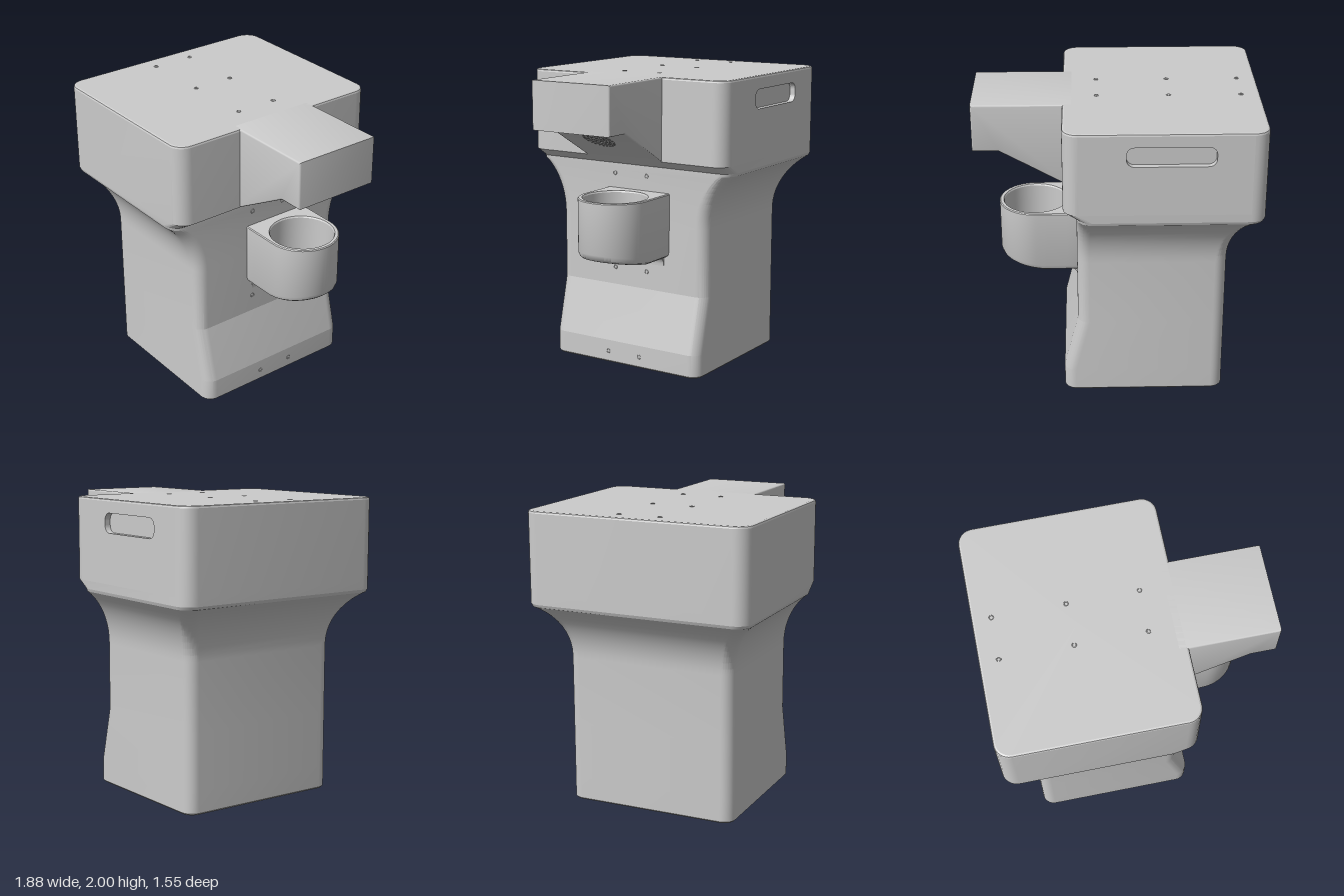
import * as THREE from 'three';
import { toCreasedNormals } from 'three/addons/utils/BufferGeometryUtils.js';

const material = new THREE.MeshStandardMaterial({ color: 0xcccccc });

// Skin a stack of equal-length loops (counterclockwise from above) and cap both ends.
function loft(rows, crease, skip = () => false) {
  const n = rows[0].length, pos = [];
  const tri = (...pts) => pts.forEach((p) => pos.push(p.x, p.y, p.z));
  for (let i = 0; i < rows.length - 1; i++) {
    for (let j = 0; j < n; j++) {
      if (skip(i, j)) continue;
      const k = (j + 1) % n, lo = rows[i], hi = rows[i + 1];
      tri(lo[j], lo[k], hi[k]);
      tri(lo[j], hi[k], hi[j]);
    }
  }
  const centre = (r) => r.reduce((s, p) => s.add(p), new THREE.Vector3()).divideScalar(n);
  const first = rows[0], last = rows[rows.length - 1];
  const c0 = centre(first), c1 = centre(last);
  for (let j = 0; j < n; j++) {
    const k = (j + 1) % n;
    tri(c0, first[k], first[j]);
    tri(c1, last[j], last[k]);
  }
  const g = new THREE.BufferGeometry();
  g.setAttribute('position', new THREE.Float32BufferAttribute(pos, 3));
  return toCreasedNormals(g, crease);
}

// Rounded rectangle in plan, starting at the +x, -z corner.
const SEG = 8;
function plan(y, x0, x1, hz, r) {
  const pts = [];
  const corners = [[x1 - r, -hz + r], [x0 + r, -hz + r], [x0 + r, hz - r], [x1 - r, hz - r]];
  corners.forEach(([cx, cz], q) => {
    for (let s = 0; s <= SEG; s++) {
      const a = (q + s / SEG) * Math.PI / 2;
      pts.push(new THREE.Vector3(cx + r * Math.cos(a), y, cz - r * Math.sin(a)));
    }
  });
  return pts;
}

export function createModel() {
  const model = new THREE.Group();
  const add = (name, geometry, parent = model) => {
    const m = new THREE.Mesh(geometry, material);
    m.name = name;
    parent.add(m);
    return m;
  };

  // Pedestal with toe, flared neck and tank head
  const rows = [
    plan(0, -0.708, 0.348, 0.578, 0.07),
    plan(0.012, -0.72, 0.36, 0.59, 0.08),
    plan(0.16, -0.72, 0.36, 0.59, 0.08),
    plan(0.54, -0.72, 0.265, 0.59, 0.08),
  ];
  const sweep = 1.03;
  for (let i = 0; i <= 10; i++) {
    const a = sweep * i / 10;
    const t = (1 - Math.cos(a)) / (1 - Math.cos(sweep));
    rows.push(plan(1 + 0.37 * Math.sin(a) / Math.sin(sweep),
      -0.72 - 0.212 * t, 0.265, 0.59 + 0.178 * t, 0.08 + 0.02 * t));
  }
  rows.push(plan(1.39, -0.94, 0.265, 0.775, 0.1));
  rows.push(plan(1.445, -0.94, 0.35, 0.775, 0.1));
  const wall = rows.length - 1;
  rows.push(plan(1.985, -0.94, 0.35, 0.775, 0.1));
  rows.push(plan(1.996, -0.936, 0.346, 0.771, 0.096));
  rows.push(plan(2, -0.925, 0.335, 0.76, 0.085));
  add('body', loft(rows, 0.22, (i, j) => i === wall && j === SEG));

  // Back panel of the tank, with a rounded handle pocket
  const panel = new THREE.Shape();
  panel.moveTo(-0.25, 1.445).lineTo(0.84, 1.445).lineTo(0.84, 1.985).lineTo(-0.25, 1.985).closePath();
  const slot = new THREE.Path();
  const r = 0.05, l = 0.05, t = 1.91, b = 1.78, e = 0.61;
  slot.absarc(l + r, b + r, r, Math.PI, Math.PI * 1.5);
  slot.absarc(e - r, b + r, r, Math.PI * 1.5, Math.PI * 2);
  slot.absarc(e - r, t - r, r, 0, Math.PI / 2);
  slot.absarc(l + r, t - r, r, Math.PI / 2, Math.PI);
  slot.closePath();
  panel.holes.push(slot);
  const back = add('handlePanel', new THREE.ExtrudeGeometry(panel, { depth: 0.04, bevelEnabled: false, curveSegments: 8 }));
  back.rotation.y = Math.PI;
  back.position.z = -0.735;
  add('handlePocketFloor', new THREE.BoxGeometry(0.64, 0.2, 0.02)).position.set(-0.33, 1.845, -0.725);

  // Overhanging spout arm with sloped underside
  const arm = new THREE.Shape();
  arm.moveTo(0.29, 1.411).lineTo(0.77, 1.68).lineTo(0.94, 1.68).lineTo(0.94, 2).lineTo(0.29, 2).closePath();
  const bevel = 0.012;
  const armGeo = new THREE.ExtrudeGeometry(arm, {
    depth: 0.604 - 2 * bevel, bevelThickness: bevel, bevelSize: bevel, bevelOffset: -bevel, bevelSegments: 3,
  });
  armGeo.translate(0, 0, -0.302 + bevel);
  add('spoutArm', toCreasedNormals(armGeo, 0.6));

  // Hollow cup: D-shaped outside, round bore, underside rising to the front
  const cx = 0.545, cz = -0.065, R = 0.245, N = 64;
  const cupLoop = (y, rad, round, rise) => Array.from({ length: N }, (_, j) => {
    const a = j / N * Math.PI * 2, c = Math.cos(a), s = Math.sin(a);
    const k = round || c >= 0 ? rad : Math.min(rad / Math.max(Math.abs(s), 1e-6), 0.295 / -c);
    const x = cx + k * c;
    return new THREE.Vector3(x, y + rise * Math.max(0, x - 0.5) * 0.17, cz - k * s);
  });
  add('cup', loft([
    cupLoop(0.78, R - 0.05, false, 1),
    cupLoop(0.784, R - 0.029, false, 1),
    cupLoop(0.797, R - 0.011, false, 1),
    cupLoop(0.825, R, false, 1),
    cupLoop(1.214, R, false, 0),
    cupLoop(1.22, R - 0.006, false, 0),
    cupLoop(1.22, 0.218, true, 0),
    cupLoop(1.21, 0.212, true, 0),
    cupLoop(0.87, 0.212, true, 0),
  ], 0.5));

  // Curved fillet beneath the cup mount
  const fillet = new THREE.Shape();
  fillet.moveTo(0.25, 0.72).lineTo(0.265, 0.72).quadraticCurveTo(0.267, 0.78, 0.32, 0.782).lineTo(0.32, 0.8).lineTo(0.25, 0.8).closePath();
  const filletGeo = new THREE.ExtrudeGeometry(fillet, { depth: 0.4, bevelEnabled: false });
  filletGeo.translate(0, 0, cz - 0.2);
  add('cupFillet', toCreasedNormals(filletGeo, 0.5));

  // Fastener rims on the lid and on the pedestal front
  const fasteners = new THREE.Group();
  fasteners.name = 'fasteners';
  model.add(fasteners);
  const rim = new THREE.TorusGeometry(0.013, 0.003, 6, 16);
  for (const x of [-0.815, -0.342, 0.128]) {
    for (const z of [-0.143, 0.14]) {
      const m = add('lidFastener', rim, fasteners);
      m.rotation.x = Math.PI / 2;
      m.position.set(x, 2, z);
    }
  }
  for (const [x, y] of [[0.265, 1.32], [0.265, 0.66], [0.36, 0.08]]) {
    for (const z of [-0.125, 0.13]) {
      const m = add('frontFastener', rim, fasteners);
      m.rotation.y = Math.PI / 2;
      m.position.set(x, y, z);
    }
  }

  // Round grille of small holes on the sloped underside
  const grille = new THREE.Group();
  grille.name = 'grille';
  grille.position.set(0.63, 1.602, 0);
  grille.rotation.z = Math.atan2(0.269, 0.48);
  model.add(grille);
  const dot = new THREE.TorusGeometry(0.008, 0.0025, 4, 8);
  for (let ring = 0; ring <= 4; ring++) {
    const count = ring ? ring * 6 : 1;
    for (let i = 0; i < count; i++) {
      const a = i / count * Math.PI * 2;
      const m = add('grilleHole', dot, grille);
      m.rotation.x = Math.PI / 2;
      m.position.set(ring * 0.026 * Math.cos(a), 0, ring * 0.026 * Math.sin(a));
    }
  }

  return model;
}
